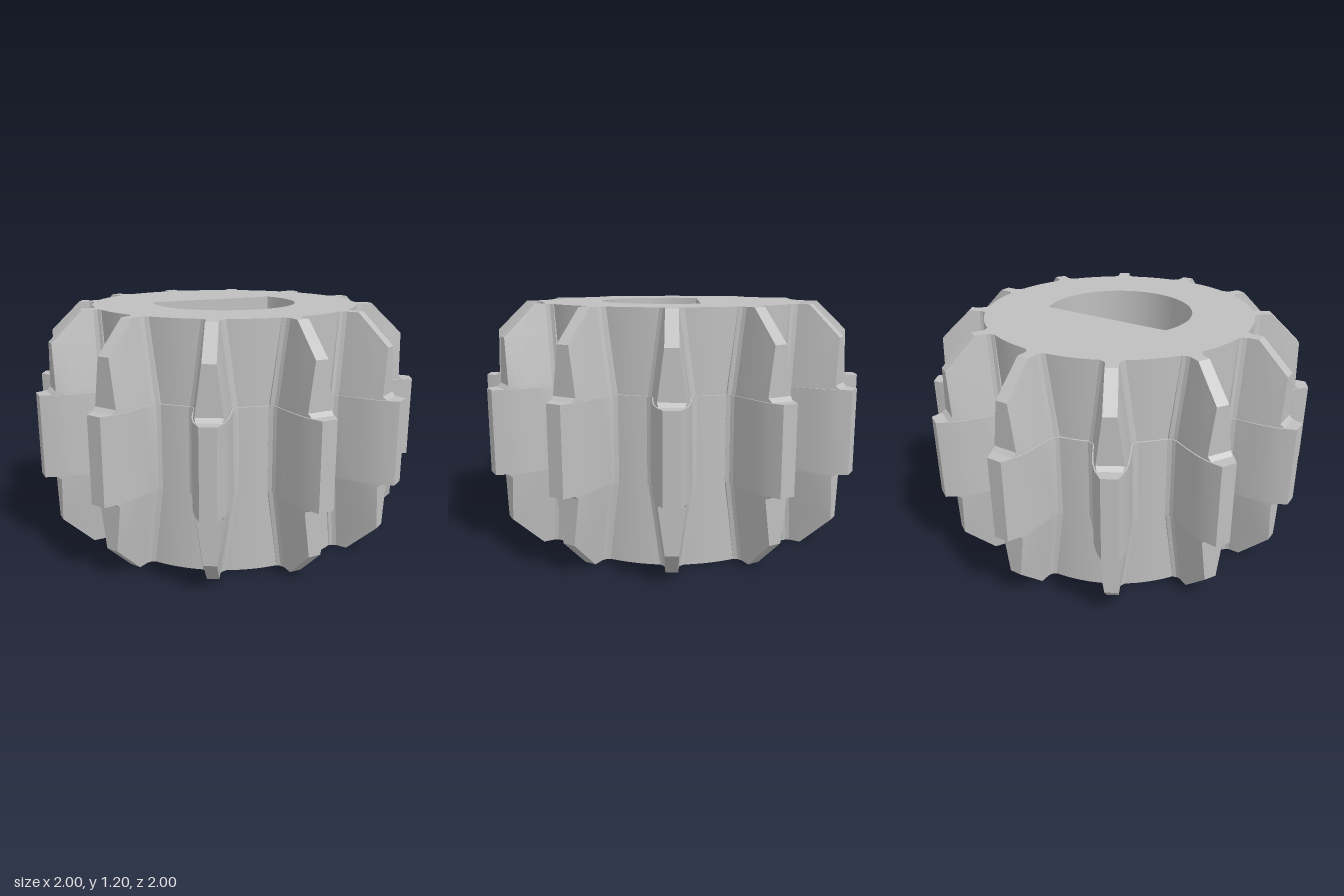
import * as THREE from 'three';
import { toCreasedNormals } from 'three/addons/utils/BufferGeometryUtils.js';

const HEIGHT = 1.2, TEETH = 12;

// Disc of the given radius with a hole, extruded upwards from y0
function disc(radius, hole, y0, height) {
  const shape = new THREE.Shape().absarc(0, 0, radius, 0, Math.PI * 2, false);
  shape.holes.push(hole);
  const g = new THREE.ExtrudeGeometry(shape, { depth: height, bevelEnabled: false, curveSegments: 72 });
  g.rotateX(-Math.PI / 2).translate(0, y0, 0);
  return toCreasedNormals(g, 0.5);
}

// Half width of a full tooth at radius r
const FLANK = [[0.66, 0.089], [0.78, 0.087], [0.87, 0.08], [0.93, 0.068], [1.0, 0.038]];
function halfWidth(r) {
  for (let i = 1; i < FLANK.length; i++) {
    const [r0, h0] = FLANK[i - 1], [r1, h1] = FLANK[i];
    if (r <= r1) return h0 + (h1 - h0) * (r - r0) / (r1 - r0);
  }
  return FLANK[FLANK.length - 1][1];
}

// Cross-section of a tooth: root fillets, flanks and tip
function toothRing(y, tip, narrowing) {
  const side = [[0.66, 0.024], [0.685, 0.024], [0.697, 0.008], [0.715, 0]]
    .map(([r, extra]) => [halfWidth(r) - narrowing + extra, r]);
  for (const k of [0.3, 0.55, 0.76, 1]) {
    const r = 0.715 + (tip - 0.715) * k;
    side.push([halfWidth(r) - narrowing, r]);
  }
  const right = side.map(([h, r]) => [h, y, r]);
  const left = side.map(([h, r]) => [-h, y, r]).reverse();
  return [...right, ...left];
}

function toothGeometry() {
  // Height above the middle plane, tip radius, narrowing of each flank
  const upper = [
    [0.207, 1.0, 0], [0.207, 0.945, 0.006], [0.225, 0.925, 0.008],
    [0.45, 0.925, 0.038], [0.6, 0.77, 0.058],
  ];
  const lower = upper.map(([d, tip, n]) => [-d, tip, n]).reverse();
  const rings = [...lower, ...upper].map(([d, tip, n]) => toothRing(HEIGHT / 2 + d, tip, n));
  const n = rings[0].length, pos = [];
  const quad = (a, b, c, d) => pos.push(...a, ...b, ...c, ...a, ...c, ...d);
  for (let i = 0; i + 1 < rings.length; i++) {
    const lo = rings[i], hi = rings[i + 1];
    for (let j = 0; j + 1 < n; j++) quad(lo[j], hi[j], hi[j + 1], lo[j + 1]);
  }
  // End caps
  const bottom = rings[0], top = rings[rings.length - 1];
  for (let j = 0; j + 1 < n / 2; j++) {
    quad(top[j], top[n - 1 - j], top[n - 2 - j], top[j + 1]);
    quad(bottom[j], bottom[j + 1], bottom[n - 2 - j], bottom[n - 1 - j]);
  }
  const g = new THREE.BufferGeometry();
  g.setAttribute('position', new THREE.Float32BufferAttribute(pos, 3));
  return toCreasedNormals(g, 0.28);
}

export function createModel() {
  const model = new THREE.Group();
  model.name = 'gear';
  const steel = new THREE.MeshStandardMaterial({ color: 0xbfbfbf });
  steel.name = 'grey steel';
  const add = (name, geometry) => {
    const mesh = new THREE.Mesh(geometry, steel);
    mesh.name = name;
    model.add(mesh);
    return mesh;
  };

  // Hub with a D-shaped shaft bore, flat towards the back
  const a = Math.asin(0.14 / 0.372);
  const bore = new THREE.Path().absarc(0, 0, 0.372, Math.PI - a, Math.PI * 2 + a, false);
  bore.closePath();
  add('hub', disc(0.685, bore, 0, HEIGHT));

  // Slightly raised band around the middle
  const inner = new THREE.Path().absarc(0, 0, 0.6, 0, Math.PI * 2, true);
  add('middleBand', disc(0.694, inner, 0.393, 0.414));

  // Ring of teeth
  const tooth = toothGeometry();
  for (let i = 0; i < TEETH; i++) {
    add('tooth' + (i + 1), tooth).rotation.y = i * Math.PI * 2 / TEETH;
  }
  return model;
}
